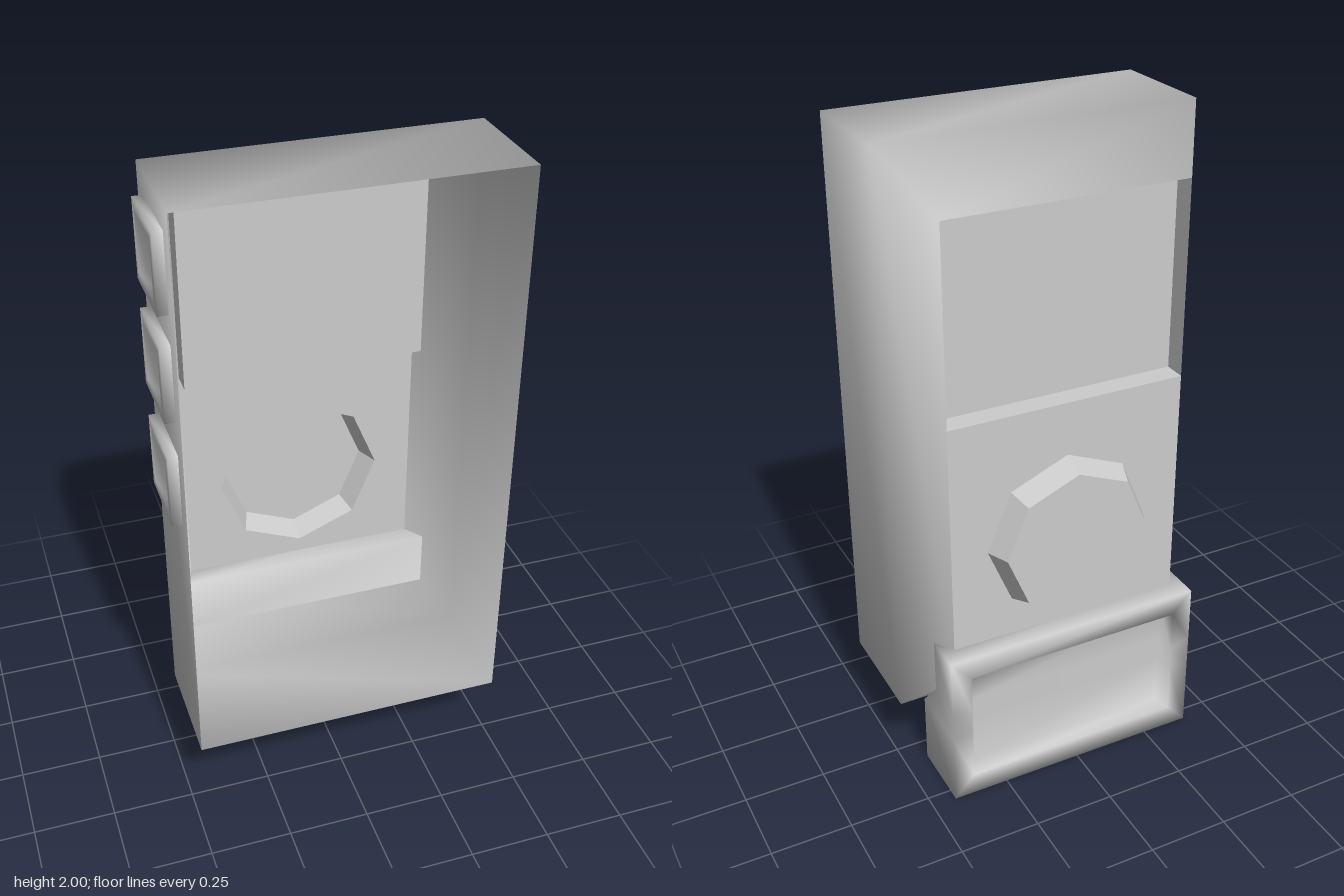
import * as THREE from 'three';

const material = new THREE.MeshStandardMaterial({ color: 0xcccccc, side: THREE.DoubleSide });
const flatMaterial = new THREE.MeshStandardMaterial({ color: 0xcccccc, side: THREE.DoubleSide, flatShading: true });

// Rectangular cross-section, counter-clockwise as seen from -z
const rect = (x0, x1, y0, y1, z) => [[x1, y0, z], [x0, y0, z], [x0, y1, z], [x1, y1, z]];

// Skin a series of loops running towards -z; caps are filled with strips
function loft(loops, capStart, capEnd) {
  const n = loops[0].length;
  const index = [];
  const quad = (a, b, c, d) => index.push(a, b, c, a, c, d);
  for (let i = 0; i < loops.length - 1; i++) {
    for (let j = 0; j < n; j++) {
      const k = (j + 1) % n;
      quad(i * n + j, i * n + k, (i + 1) * n + k, (i + 1) * n + j);
    }
  }
  const last = (loops.length - 1) * n;
  for (let k = 0; k < n / 2 - 1; k++) {
    const [a, b, c, d] = [(n - k) % n, k + 1, k + 2, n - 1 - k];
    if (capStart) quad(d, c, b, a);
    if (capEnd) quad(last + a, last + b, last + c, last + d);
  }
  const geometry = new THREE.BufferGeometry();
  geometry.setAttribute('position', new THREE.Float32BufferAttribute(loops.flat(2), 3));
  geometry.setIndex(index);
  geometry.computeVertexNormals();
  return geometry;
}

export function createModel() {
  const group = new THREE.Group();
  const add = (name, geometry, mat = material) => {
    const mesh = new THREE.Mesh(geometry, mat);
    mesh.name = name;
    group.add(mesh);
    return mesh;
  };
  const faceZ = -0.225, left = -0.36, right = 0.385;
  const dial = { x: 0.012, y: 0.815, r: 0.258 };

  // Hollow casing, open at one side, with chamfered edges around the face
  add('casing', loft([
    rect(-0.47, 0.5, 0.23, 2, 0.295),
    rect(-0.47, 0.5, 0.23, 2, -0.06),
    rect(left, right, 0.395, 1.835, faceZ),
  ]));

  // Sunken screen
  add('screen', loft([
    rect(left, right, 1.24, 1.835, faceZ),
    rect(left, right, 1.24, 1.835, -0.155),
  ], false, true).toNonIndexed(), flatMaterial);

  // Flat panel with an eight-sided opening behind the dial
  const panel = new THREE.Shape([[left, 0.395], [right, 0.395], [right, 1.24], [left, 1.24]]
    .map(([x, y]) => new THREE.Vector2(x, y)));
  const hole = [];
  for (let i = 0; i < 8; i++) {
    const a = i * Math.PI / 4;
    hole.push(new THREE.Vector2(dial.x + dial.r * Math.cos(a), dial.y + dial.r * Math.sin(a)));
  }
  panel.holes.push(new THREE.Path(hole));
  add('facePanel', new THREE.ShapeGeometry(panel)).position.z = faceZ;

  // Raised octagonal dial, hollow behind
  const dialProfile = [[dial.r, 0], [0.228, 0.07], [0, 0.07]].map(([x, y]) => new THREE.Vector2(x, y));
  add('dial', new THREE.LatheGeometry(dialProfile, 8).rotateX(-Math.PI / 2), flatMaterial)
    .position.set(dial.x, dial.y, faceZ);

  // Tray below the dial: stepped rear, framed recess on its face
  const trayLoop = (x0, x1, ys, zs) => [
    [x1, ys[0], zs[0]],
    ...ys.map((y, i) => [x0, y, zs[i]]),
    ...[3, 2, 1].map(i => [x1, ys[i], zs[i]]),
  ];
  const level = z => [z, z, z, z];
  const outer = [0, 0.23, 0.33, 0.51];
  const inner = outer.map(y => 0.07 + y * 0.37 / 0.51);
  add('tray', loft([
    trayLoop(-0.4, 0.425, outer, [-0.07, -0.07, -0.16, -0.16]),
    trayLoop(-0.4, 0.425, outer, level(-0.29)),
    trayLoop(-0.335, 0.36, inner, level(-0.29)),
    trayLoop(-0.325, 0.35, inner, level(-0.232)),
  ], true, true));

  // Three framed side buttons
  const s = 0.115;
  const buttonGeometry = loft([
    rect(-s, s, -s, s, 0),
    rect(-s, s, -s, s, -0.03),
    rect(-0.085, 0.085, -0.085, 0.085, -0.03),
    rect(-0.08, 0.08, -0.08, 0.08, -0.008),
  ], false, true).rotateY(Math.PI / 2);
  [1.815, 1.497, 1.16].forEach((y, i) => {
    add(`sideButton${i + 1}`, buttonGeometry).position.set(-0.47, y, 0.12);
  });

  return group;
}
